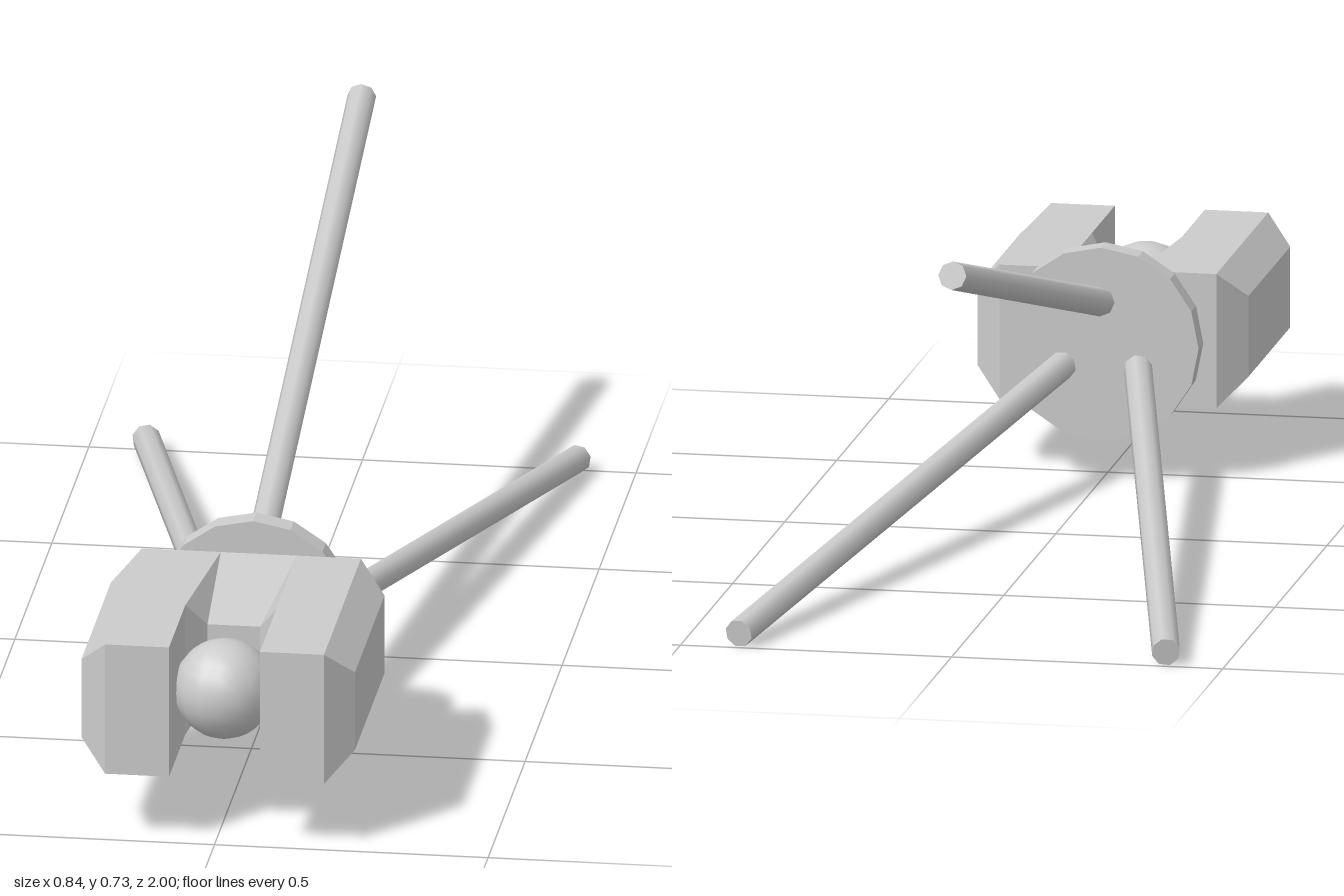
import * as THREE from 'three';

const CY = 0.255; // height of the common axis

// Forked body: half the faces are listed, the rest come from mirroring
function bodyGeometry() {
  const h = 0.125, k = 0.075;            // half heights: full, bevelled
  const X0 = 0.083, X1 = 0.2, X2 = 0.25; // slot wall, arm edge, outer face
  const N = 0.048, B = 0.056;            // slot floor half widths: front, back
  const upright = (xa, ha, za, xb, hb, zb) =>
    [[xa, -ha, za], [xb, -hb, zb], [xb, hb, zb], [xa, ha, za]];
  const sides = [
    upright(X2, k, 0.95, X2, k, 0.55),   // outer face
    upright(X1, h, 1, X2, k, 0.95),      // front bevel
    upright(X2, k, 0.55, X1, h, 0.5),    // rear bevel
    upright(X0, h, 1, X1, h, 1),         // arm front
    upright(X1, h, 0.5, 0, h, 0.5),      // back
    upright(X0, h, 0.78, X0, h, 1),      // slot wall
    upright(N, k, 0.74, X0, h, 0.78),    // slot corner
    upright(0, k, 0.74, N, k, 0.74),     // slot floor
  ];
  const tops = [
    [[X1, h, 1], [X2, k, 0.95], [X2, k, 0.55], [X1, h, 0.5]],
    [[X0, h, 1], [X1, h, 1], [X1, h, 0.5], [X0, h, 0.5]],
    [[N, k, 0.74], [X0, h, 0.78], [X0, h, 0.5], [B, h, 0.5]],
    [[0, k, 0.74], [N, k, 0.74], [B, h, 0.5], [0, h, 0.5]],
  ];
  const pos = [];
  const add = (quad, sx, sy) => {
    const q = quad.map(([x, y, z]) => [x * sx, y * sy, z]);
    if (sx * sy < 0) q.reverse();
    for (const i of [0, 1, 2, 0, 2, 3]) pos.push(...q[i]);
  };
  for (const sx of [1, -1]) {
    sides.forEach((q) => add(q, sx, 1));
    for (const sy of [1, -1]) tops.forEach((q) => add(q, sx, sy));
  }
  const g = new THREE.BufferGeometry();
  g.setAttribute('position', new THREE.Float32BufferAttribute(pos, 3));
  g.computeVertexNormals();
  return g;
}

export function createModel() {
  const model = new THREE.Group();
  const smooth = new THREE.MeshStandardMaterial({ color: 0xcccccc });
  const flat = new THREE.MeshStandardMaterial({ color: 0xcccccc, flatShading: true });
  const add = (name, geometry, material, y, z) => {
    const mesh = new THREE.Mesh(geometry, material);
    mesh.name = name;
    mesh.position.set(0, y, z);
    model.add(mesh);
    return mesh;
  };

  add('forkedBody', bodyGeometry(), flat, CY, 0);
  add('ball', new THREE.SphereGeometry(0.092, 16, 12), smooth, CY, 0.865);

  // Rear disc
  const disc = new THREE.CylinderGeometry(0.18, 0.18, 0.045, 16).rotateX(-Math.PI / 2);
  add('rearDisc', disc, flat, CY, 0.4575);

  // Three rods splaying backwards, evenly spaced around the axis
  const r0 = 0.08, r1 = 0.455, z0 = 0.43, z1 = -0.993;
  const rod = new THREE.CylinderGeometry(0.026, 0.026, Math.hypot(r1 - r0, z0 - z1), 8)
    .rotateX(-Math.PI / 2)
    .rotateX(Math.atan2(r1 - r0, z0 - z1))
    .translate(0, (r0 + r1) / 2, (z0 + z1) / 2);
  ['topRod', 'rightRod', 'leftRod'].forEach((name, i) => {
    add(name, rod, smooth, CY, 0).rotation.z = (i * Math.PI * 2) / 3;
  });

  return model;
}
